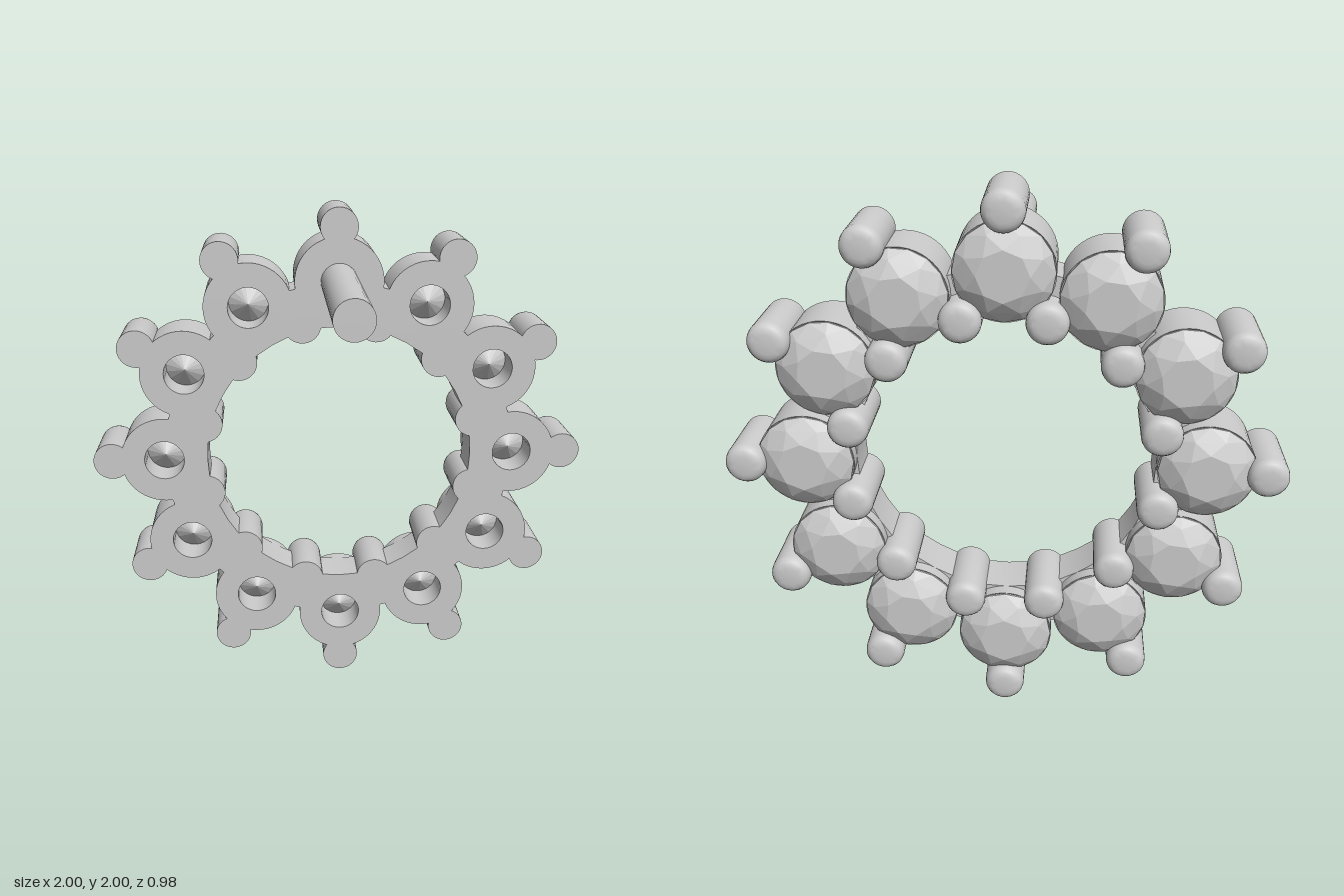
import * as THREE from 'three';
import { toCreasedNormals } from 'three/addons/utils/BufferGeometryUtils.js';
import { ConvexGeometry } from 'three/addons/geometries/ConvexGeometry.js';

const COUNT = 12;
const SETTING_DIST = 0.715; // ring centre to stone centre
const PLATE_Z = -0.21; // flat front face of the jewel

// Lathe whose axis runs from the flat face towards the back (-z)
function lathe(points, segments) {
  const g = new THREE.LatheGeometry(points.map(([r, h]) => new THREE.Vector2(r, h)), segments);
  g.rotateX(-Math.PI / 2);
  return toCreasedNormals(g, 0.6);
}

// Faceted brilliant-cut stone: table, crown, girdle and pointed pavilion
function gemGeometry() {
  const pts = [new THREE.Vector3(0, 0, -0.07)];
  const ring = (n, r, h, turn) => {
    for (let i = 0; i < n; i++) {
      const a = ((i + turn) / n) * Math.PI * 2;
      pts.push(new THREE.Vector3(r * Math.cos(a), r * Math.sin(a), -h));
    }
  };
  ring(8, 0.09, 0.278, 0);
  ring(8, 0.14, 0.252, 0.5);
  ring(16, 0.173, 0.222, 0);
  ring(16, 0.173, 0.21, 0);
  return new ConvexGeometry(pts);
}

// Connecting band, with a bite cut out around each stone's bore
function bandGeometry() {
  const bite = 0.12;
  const half = Math.asin(bite / 2 / SETTING_DIST);
  const shape = new THREE.Shape();
  for (let i = 0; i < COUNT; i++) {
    const a = (i / COUNT) * Math.PI * 2;
    shape.absarc(SETTING_DIST * Math.cos(a), SETTING_DIST * Math.sin(a), bite,
      a - Math.PI / 2 - half, a + Math.PI / 2 + half, true);
  }
  shape.closePath();
  const hole = new THREE.Path();
  hole.absarc(0, 0, 0.54, 0, Math.PI * 2, true);
  shape.holes.push(hole);
  const g = new THREE.ExtrudeGeometry(shape, { depth: 0.17, bevelEnabled: false, curveSegments: 24 });
  g.translate(0, 0, -0.17);
  return toCreasedNormals(g, 0.5);
}

export function createModel() {
  const model = new THREE.Group();
  model.name = 'gemRingEarring';
  const material = new THREE.MeshStandardMaterial({ color: 0xcccccc });
  const jewel = new THREE.Group();
  jewel.name = 'jewel';
  jewel.position.set(0, 1, PLATE_Z);
  model.add(jewel);

  const add = (name, geometry, dist = 0, angle = 0) => {
    const mesh = new THREE.Mesh(geometry, material);
    mesh.name = name;
    mesh.position.set(dist * Math.cos(angle), dist * Math.sin(angle), 0);
    mesh.rotation.z = angle;
    jewel.add(mesh);
    return mesh;
  };

  // Shared part shapes
  const openSetting = lathe([[0.08, 0.15], [0.08, 0], [0.175, 0], [0.175, 0.218], [0.08, 0.15]], 48);
  const solidSetting = lathe([[0, 0], [0.175, 0], [0.175, 0.218], [0.08, 0.15]], 48);
  const prong = lathe([[0, 0], [0.074, 0], [0.074, 0.243], [0.071, 0.258], [0.063, 0.27],
    [0.05, 0.277], [0.035, 0.28], [0, 0.28]], 32);
  const gem = gemGeometry();

  add('band', bandGeometry());

  // Stones in settings, with an outer prong on each and an inner prong between neighbours
  for (let i = 0; i < COUNT; i++) {
    const a = Math.PI / 2 + (i / COUNT) * Math.PI * 2;
    add('setting', i === 0 ? solidSetting : openSetting, SETTING_DIST, a);
    add('gem', gem, SETTING_DIST, a);
    add('outerProng', prong, 0.926, a);
    add('innerProng', prong, 0.568, a + Math.PI / COUNT);
  }

  // Ear post standing out from the top setting
  const post = new THREE.CylinderGeometry(0.073, 0.073, 0.72, 32);
  post.rotateX(Math.PI / 2);
  post.translate(0, 0, 0.34);
  add('post', post, SETTING_DIST, Math.PI / 2);

  return model;
}
